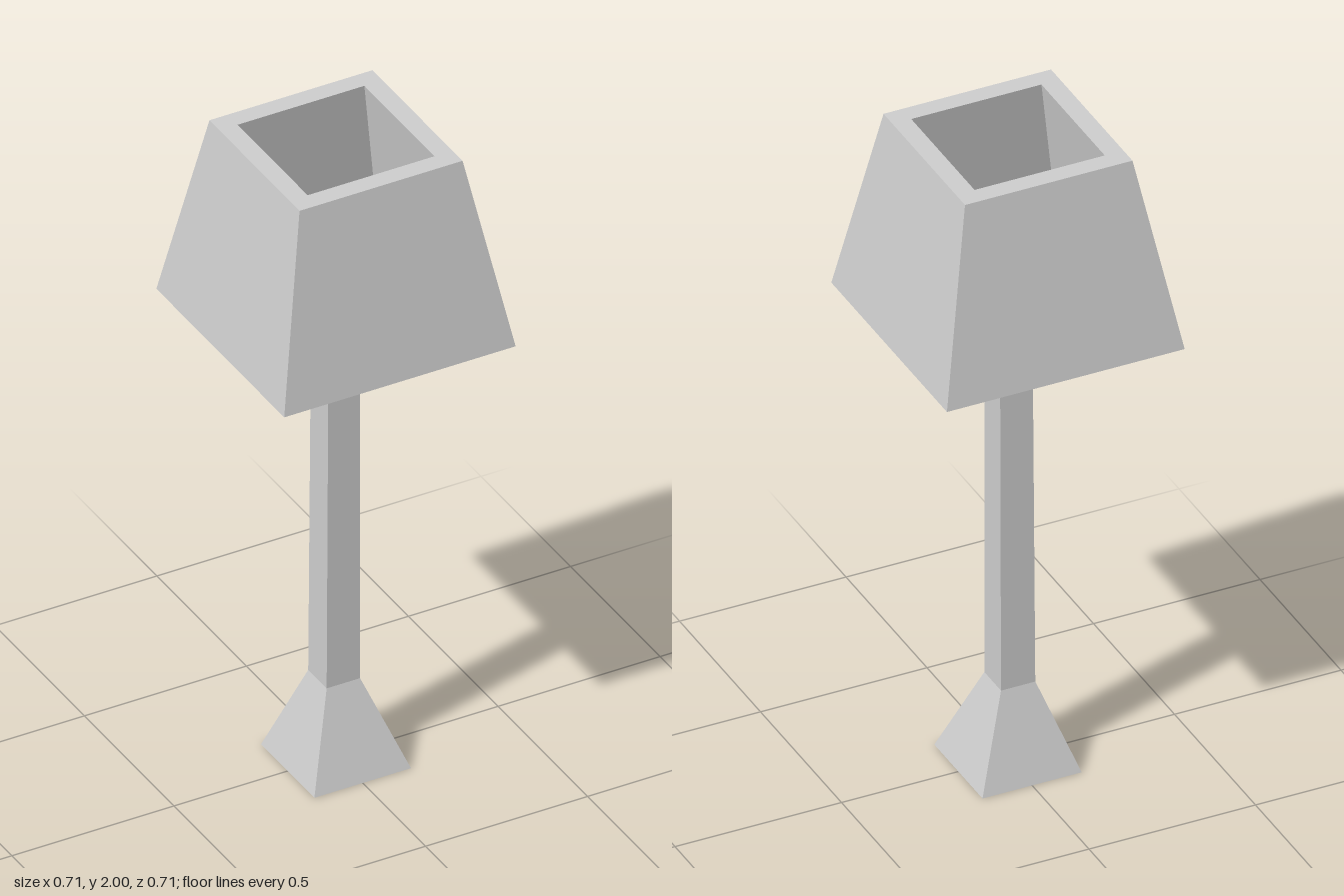
import * as THREE from 'three';

// Skin between successive square rings { y, h: half width, x, z: centre offset }
function squareLoft(rings, { closed = false, capTop = false } = {}) {
  const pos = [];
  const corner = ({ y, h, x = 0, z = 0 }, i) => {
    const [sx, sz] = [[-1, 1], [1, 1], [1, -1], [-1, -1]][i % 4];
    return [x + sx * h, y, z + sz * h];
  };
  const quad = (a, b, c, d) => pos.push(...a, ...b, ...c, ...a, ...c, ...d);
  const spans = closed ? rings.length : rings.length - 1;
  for (let r = 0; r < spans; r++) {
    const lo = rings[r], hi = rings[(r + 1) % rings.length];
    for (let i = 0; i < 4; i++) {
      quad(corner(lo, i), corner(lo, i + 1), corner(hi, i + 1), corner(hi, i));
    }
  }
  if (capTop) quad(...[0, 1, 2, 3].map((i) => corner(rings[rings.length - 1], i)));
  const geometry = new THREE.BufferGeometry();
  geometry.setAttribute('position', new THREE.Float32BufferAttribute(pos, 3));
  geometry.computeVertexNormals();
  return geometry;
}

export function createModel() {
  const lamp = new THREE.Group();
  lamp.name = 'tableLamp';
  const solid = new THREE.MeshStandardMaterial({ color: 0xcccccc, flatShading: true });
  const thin = new THREE.MeshStandardMaterial({ color: 0xcccccc, flatShading: true, side: THREE.DoubleSide });

  const add = (name, geometry, material) => {
    const mesh = new THREE.Mesh(geometry, material);
    mesh.name = name;
    lamp.add(mesh);
  };

  // The joint between foot and post sits slightly off centre
  const joint = { y: 0.265, h: 0.0515, x: -0.003, z: -0.005 };

  // Flared foot, open underneath
  add('foot', squareLoft([{ y: 0, h: 0.149 }, joint]), thin);

  // Slightly tapering hollow post with a closed top
  add('post', squareLoft([joint, { y: 1.72, h: 0.048 }], { capTop: true }), thin);

  // Thick-walled shade, open at both ends: outside, top rim, inside, bottom rim
  add('shade', squareLoft([
    { y: 1.425, h: 0.357 },
    { y: 2, h: 0.2515 },
    { y: 2, h: 0.1955 },
    { y: 1.425, h: 0.296 },
  ], { closed: true }), solid);

  return lamp;
}
